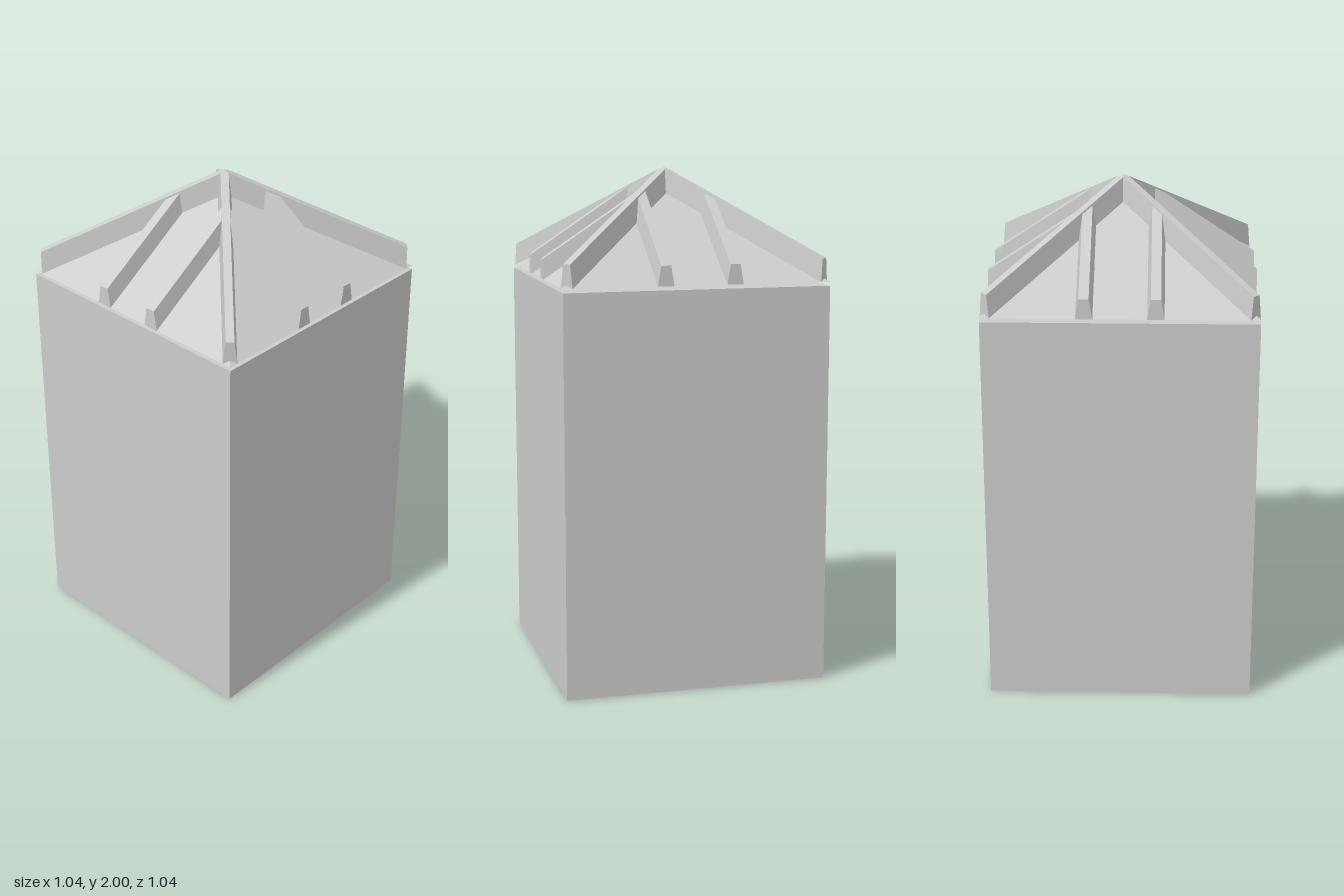
import * as THREE from 'three';

const HALF = 0.52, EAVE = 1.58, SLOPE = 0.66, RIB_H = 0.077;
const material = new THREE.MeshStandardMaterial({ color: 0xcccccc, flatShading: true });

// Height of the roof surface at a distance d from the central axis
const roofY = (d) => EAVE + SLOPE * (HALF - d);

// Trapezoid rib section as [sideways offset, height above the roof]
const section = [[-0.026, 0], [-0.0155, RIB_H], [0, RIB_H], [0.0155, RIB_H], [0.026, 0]];

// Joins an inner and an outer ring of points and closes the outer end
function ribGeometry(inner, outer) {
  const n = inner.length;
  const index = [];
  for (let i = 0; i < n; i++) {
    const j = (i + 1) % n;
    index.push(i, n + i, n + j, i, n + j, j);
    if (i > 0 && i < n - 1) index.push(n, n + i + 1, n + i);
  }
  const g = new THREE.BufferGeometry();
  g.setAttribute('position', new THREE.Float32BufferAttribute([...inner, ...outer].flat(), 3));
  g.setIndex(index);
  const flat = g.toNonIndexed();
  flat.computeVertexNormals();
  return flat;
}

// Hip rib running outward along local +z, mitred at the peak
function hipRib() {
  const point = (t, h, s) => [t, h ? roofY(s / Math.SQRT2) + h : roofY((s + Math.abs(t)) / Math.SQRT2), s];
  const end = HALF * Math.SQRT2 - 0.026;
  return ribGeometry(
    section.map(([t, h]) => point(t, h, Math.abs(t))),
    section.map(([t, h]) => point(t, h, end)));
}

// Panel rib running up the slope until it dies into the hip rib
function panelRib(x) {
  const point = (t, h, z) => [x + t, roofY(z) + h, z];
  const profile = section.map(([t, h]) => [t * 1.23, h]);
  return ribGeometry(
    profile.map(([t, h]) => point(t, h, Math.abs(x + t) + 0.012)),
    profile.map(([t, h]) => point(t, h, HALF)));
}

export function createModel() {
  const model = new THREE.Group();
  const add = (name, geometry, turn = 0) => {
    const mesh = new THREE.Mesh(geometry, material);
    mesh.name = name;
    mesh.rotation.y = turn;
    model.add(mesh);
    return mesh;
  };

  // Plain square body
  add('body', new THREE.BoxGeometry(2 * HALF, 1.565, 2 * HALF)).position.y = 1.565 / 2;

  // Pyramid roof, floating just above the body
  const rise = SLOPE * HALF;
  add('roof', new THREE.ConeGeometry(HALF * Math.SQRT2, rise, 4).rotateY(Math.PI / 4))
    .position.y = EAVE + rise / 2;

  // Slightly uneven rib offsets on the front, +x, back and -x panels
  const offsets = [[-0.122, 0.118], [-0.128, 0.142], [-0.133, 0.133], [-0.128, 0.118]];
  offsets.forEach((pair, k) => {
    const turn = k * Math.PI / 2;
    add('hipRib', hipRib(), turn + Math.PI / 4);
    pair.forEach((x) => add('panelRib', panelRib(x), turn));
  });
  return model;
}
